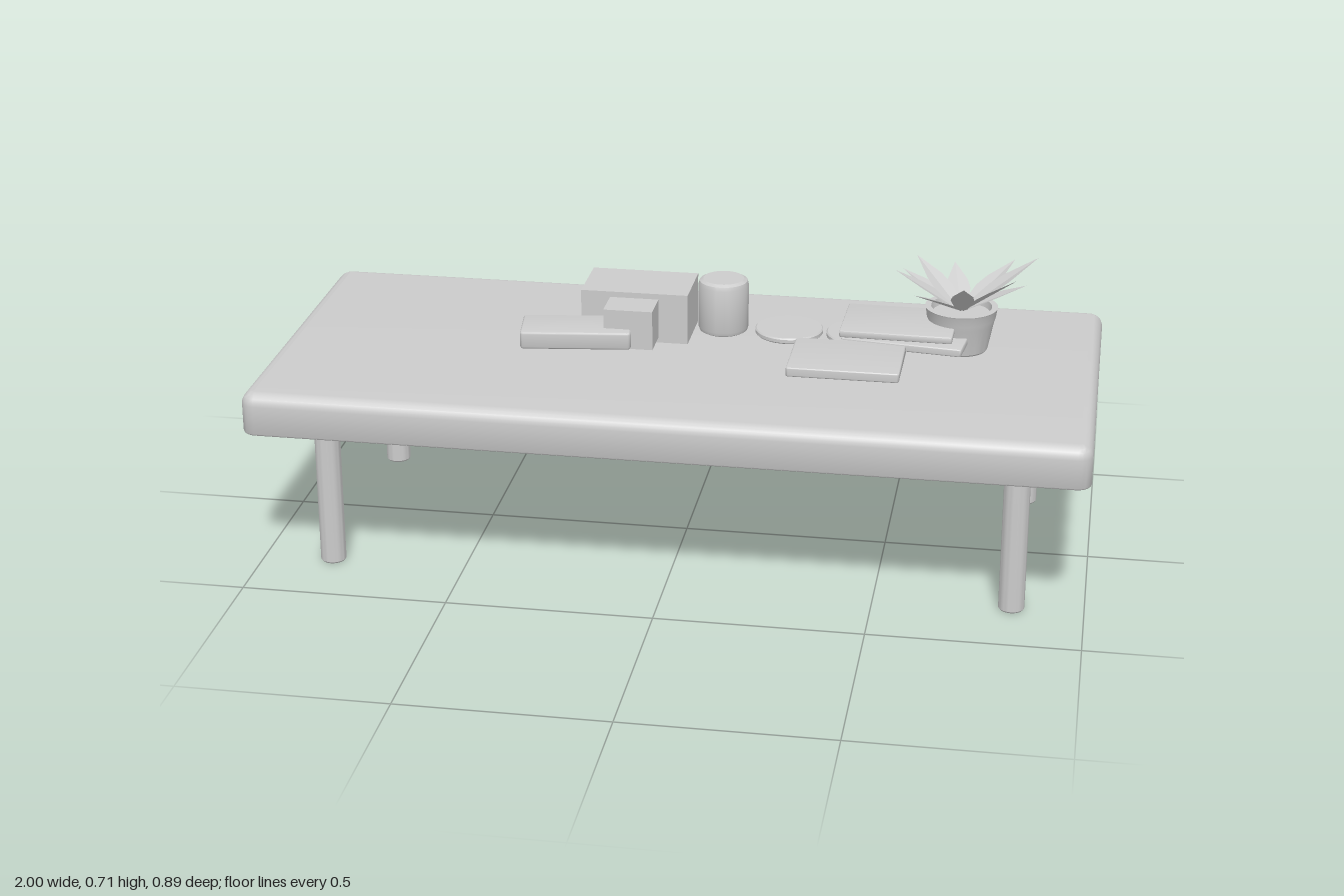
import * as THREE from 'three';
import { toCreasedNormals } from 'three/addons/utils/BufferGeometryUtils.js';

const grey = new THREE.MeshStandardMaterial({ color: 0xcccccc });
const thinGrey = new THREE.MeshStandardMaterial({ color: 0xcccccc, side: THREE.DoubleSide });
const leafGrey = new THREE.MeshStandardMaterial({ color: 0xcccccc, side: THREE.DoubleSide, flatShading: true });

function add(parent, name, geometry, x, y, z, turn = 0, material = grey) {
  const mesh = new THREE.Mesh(geometry, material);
  mesh.name = name;
  mesh.position.set(x, y, z);
  mesh.rotation.y = turn;
  parent.add(mesh);
  return mesh;
}

// Slab standing on y = 0: rounded-rectangle rings, with separate top and bottom edge radii
function slab(w, h, d, corner, topR, bottomR, closed = true) {
  const steps = 5, rings = [];
  for (let i = 0; i <= steps; i++) {
    const a = (i / steps) * Math.PI / 2;
    rings.push([bottomR * (1 - Math.sin(a)), bottomR * (1 - Math.cos(a))]);
  }
  for (let i = 0; i <= steps; i++) {
    const a = (i / steps) * Math.PI / 2;
    rings.push([topR * (1 - Math.cos(a)), h - topR * (1 - Math.sin(a))]);
  }
  // Narrow flat borders keep the large faces evenly shaded
  rings.push([topR + 0.0005, h]);
  if (closed) rings.unshift([bottomR + 0.0005, 0]);
  const pos = [], index = [], n = 4 * (steps + 1);
  for (const [inset, y] of rings) {
    for (let q = 0; q < 4; q++) {
      const sx = q === 0 || q === 3 ? 1 : -1, sz = q < 2 ? -1 : 1;
      for (let i = 0; i <= steps; i++) {
        const a = (q + i / steps) * Math.PI / 2, r = corner - inset;
        pos.push(sx * (w / 2 - corner) + r * Math.cos(a), y, sz * (d / 2 - corner) - r * Math.sin(a));
      }
    }
  }
  const low = rings.length * n, high = low + 1, last = (rings.length - 1) * n;
  pos.push(0, 0, 0, 0, h, 0);
  for (let j = 0; j < n; j++) {
    const k = (j + 1) % n;
    for (let i = 0; i < rings.length - 1; i++) {
      const a = i * n + j, b = i * n + k;
      index.push(a, b, b + n, a, b + n, a + n);
    }
    index.push(high, last + j, last + k);
    if (closed) index.push(low, k, j);
  }
  const g = new THREE.BufferGeometry();
  g.setAttribute('position', new THREE.Float32BufferAttribute(pos, 3));
  g.setIndex(index);
  return toCreasedNormals(g, 0.6);
}

// Turned solid from [radius, height] pairs
function turned(profile, sides = 40) {
  const g = new THREE.LatheGeometry(profile.map(([r, y]) => new THREE.Vector2(r, y)), sides);
  return toCreasedNormals(g, 0.45);
}

// Lightly folded pointed leaf running from base to tip
function leaf(base, tip, width) {
  const g = new THREE.PlaneGeometry(1, 1, 2, 5);
  const p = g.attributes.position;
  const dir = tip.clone().sub(base);
  const side = new THREE.Vector3(-dir.z, 0, dir.x).normalize();
  const up = side.clone().cross(dir).normalize();
  if (up.y < 0) up.negate();
  for (let i = 0; i < p.count; i++) {
    const s = p.getX(i) * 2, t = p.getY(i) + 0.5;
    const half = (width / 2) * Math.min(0.4 + t * 1.1, 1, (1 - t) * 1.8);
    const v = base.clone().addScaledVector(dir, t)
      .addScaledVector(side, s * half)
      .addScaledVector(up, Math.abs(s) * half * 0.18);
    p.setXYZ(i, v.x, v.y, v.z);
  }
  return g;
}

export function createModel() {
  const model = new THREE.Group();
  model.name = 'coffeeTable';

  // Table top, a shell open underneath, and tubular legs
  add(model, 'tableTop', slab(2, 0.105, 0.894, 0.034, 0.03, 0.008, false), 0, 0.375, 0, 0, thinGrey);
  const leg = turned([[0.028, 0], [0.031, 0.004], [0.031, 0.4], [0, 0.4]], 32);
  for (const x of [-0.829, 0.829])
    for (const z of [-0.31, 0.31]) add(model, 'leg', leg, x, 0, z, 0, thinGrey);

  // Boxes, case and canister
  add(model, 'largeBox', new THREE.BoxGeometry(0.264, 0.126, 0.163), -0.13, 0.562, -0.08);
  add(model, 'smallBox', new THREE.BoxGeometry(0.12, 0.098, 0.09), -0.13, 0.562, 0.045);
  add(model, 'roundedCase', slab(0.268, 0.045, 0.122, 0.009, 0.007, 0.007), -0.26, 0.518, 0.07, 0.13);
  const canister = [[0, 0.503], [0.052, 0.503], [0.059, 0.507], [0.062, 0.516], [0.062, 0.624],
    [0.059, 0.634], [0.05, 0.639], [0, 0.639]];
  add(model, 'canister', turned(canister), 0.075, 0, -0.102);

  // Coasters
  const coaster = turned([[0, 0], [0.08, 0], [0.083, 0.003], [0.083, 0.011], [0.08, 0.014], [0, 0.014]]);
  for (const x of [0.245, 0.42]) add(model, 'coaster', coaster, x, 0.525, -0.053);

  // Books
  add(model, 'frontBook', slab(0.268, 0.024, 0.2, 0.005, 0.004, 0.004), 0.404, 0.515, 0.112);
  add(model, 'lowerBook', slab(0.295, 0.02, 0.2, 0.005, 0.004, 0.004), 0.537, 0.524, -0.07, -0.12);
  add(model, 'upperBook', slab(0.272, 0.018, 0.192, 0.005, 0.004, 0.004), 0.514, 0.552, -0.062, -0.02);

  // Potted plant
  const plant = new THREE.Group();
  plant.name = 'pottedPlant';
  plant.position.set(0.66, 0, -0.105);
  model.add(plant);
  add(plant, 'pot', turned([[0, 0.491], [0.064, 0.491], [0.067, 0.495], [0.08, 0.562], [0.084, 0.575],
    [0.087, 0.597], [0.0885, 0.6], [0.074, 0.6], [0.071, 0.578]]), 0, 0, 0);
  add(plant, 'soil', new THREE.CylinderGeometry(0.0715, 0.0715, 0.01, 40), 0, 0.577, 0);

  // Leaf tips relative to the pot
  const tips = [
    [0.014, 0.71, 0.19], [0.178, 0.71, -0.068], [-0.163, 0.687, 0.01], [-0.028, 0.665, -0.135],
    [0.12, 0.687, -0.112], [-0.12, 0.687, -0.108], [0.135, 0.71, 0.105], [-0.105, 0.675, 0.15],
    [0.155, 0.667, 0.015], [-0.15, 0.667, -0.06],
  ];
  for (const [x, y, z] of tips) {
    const reach = Math.hypot(x, z);
    const base = new THREE.Vector3(x / reach * 0.008, 0.59, z / reach * 0.008);
    add(plant, 'leaf', leaf(base, new THREE.Vector3(x, y, z), 0.068), 0, 0, 0, 0, leafGrey);
  }
  return model;
}
